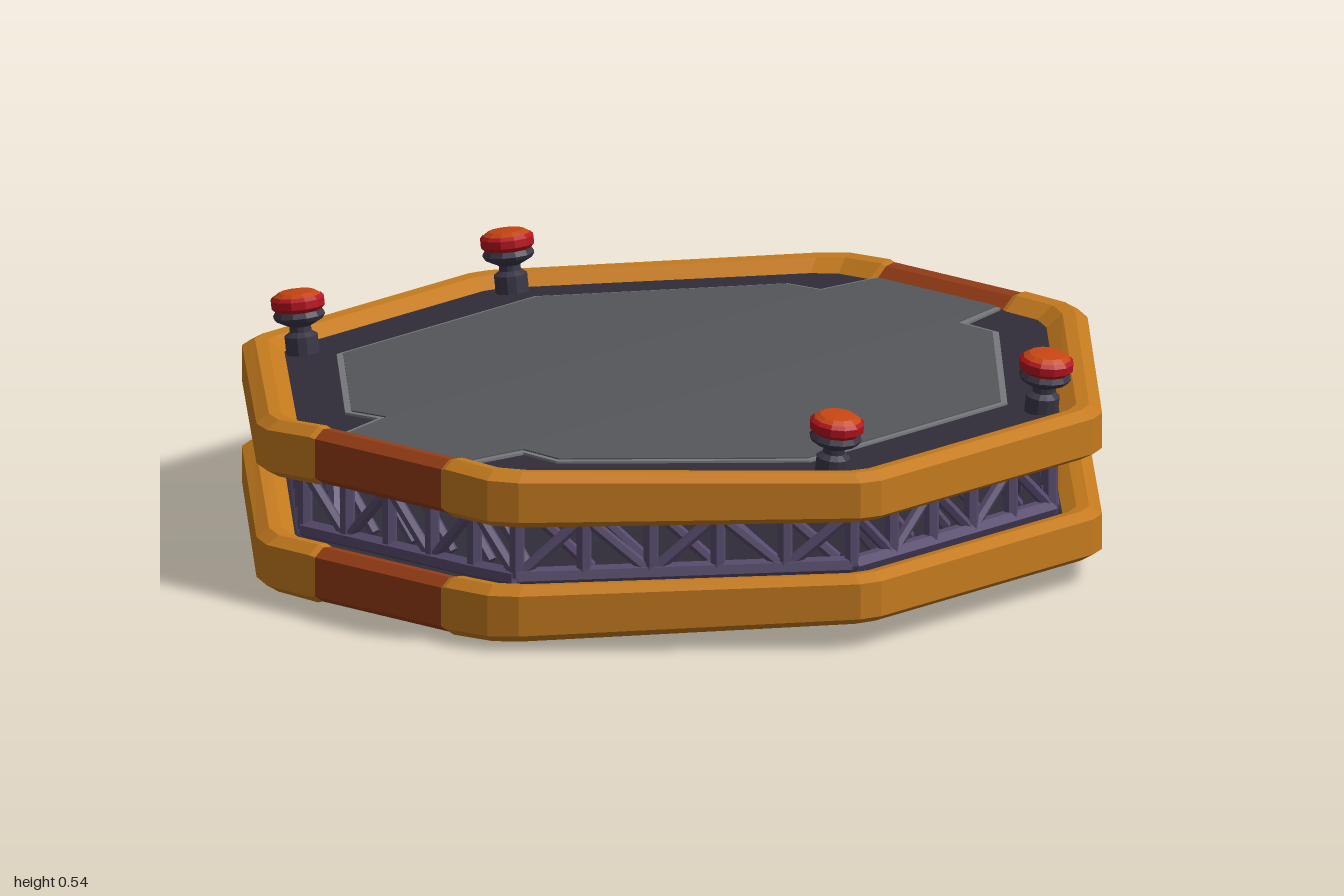
import * as THREE from 'three';
import { mergeGeometries } from 'three/addons/utils/BufferGeometryUtils.js';

const SUM = 0.43; // the lower deck is the upper one turned over: y -> SUM - y, z -> -z
const mat = (color) => new THREE.MeshStandardMaterial({ color, flatShading: true });
const M = {
  orange: mat(0xc47a1e), rust: mat(0x953c16), frame: mat(0x302d39), panel: mat(0x55575b),
  edge: mat(0x77797c), truss: mat(0x564a6c), dark: mat(0x3a3646), cap: mat(0xc64512), rim: mat(0xb3141f),
};

// Height on the bent upper deck at depth z, h above its middle layer
const Z = [-1, -0.2, 0.2, 1], BASE = [0.312, 0.355, 0.36, 0.36], THICK = [0.84, 1, 1, 0.84];
function yAt(z, h) {
  const i = z < -0.2 ? 0 : z < 0.2 ? 1 : 2;
  const t = THREE.MathUtils.clamp((z - Z[i]) / (Z[i + 1] - Z[i]), 0, 1);
  const mix = (a) => THREE.MathUtils.lerp(a[i], a[i + 1], t);
  return mix(BASE) + h * mix(THICK);
}

// Skin over closed sections (counter-clockwise about the travel direction), capped at both ends
function loft(sections) {
  const p = [], tri = (...v) => v.forEach((q) => p.push(...q));
  const n = sections[0].length, last = sections[sections.length - 1], first = sections[0];
  for (let i = 0; i < sections.length - 1; i++) {
    for (let j = 0; j < n; j++) {
      const k = (j + 1) % n, s = sections[i], e = sections[i + 1];
      tri(s[j], s[k], e[k], s[j], e[k], e[j]);
    }
  }
  for (let j = 1; j < n - 1; j++) {
    tri(last[0], last[j], last[j + 1]);
    tri(first[0], first[j + 1], first[j]);
  }
  const g = new THREE.BufferGeometry();
  g.setAttribute('position', new THREE.Float32BufferAttribute(p, 3));
  g.computeVertexNormals();
  return g;
}

function add(parent, name, geometry, material) {
  const m = new THREE.Mesh(geometry, material);
  m.name = name;
  parent.add(m);
  return m;
}

// Bent plate from half widths [z, w], given for z > 0 from the middle outward
function plate(half, bottom, top) {
  const rows = [...half.map(([z, w]) => [-z, w]).reverse(), ...half];
  return loft(rows.map(([z, w]) => {
    const b = yAt(z, bottom), t = yAt(z, top);
    return [[-w, b, z], [w, b, z], [w, t, z], [-w, t, z]];
  }));
}

// Rail profile: [inset from the outside, height]
const RAIL = [[0.1, -0.04], [0.06, -0.066], [0.03, -0.07], [0, -0.05],
  [0, 0.05], [0.03, 0.07], [0.06, 0.066], [0.1, 0.035]];
// Path points: [x, z, profile scale, whether z stays fixed]
function rail(path) {
  return loft(path.map(([x, z, k, fixed]) => RAIL.map(([d0, h]) => {
    const d = 0.05 + (d0 - 0.05) * k, zz = fixed ? z : z * (1 - d);
    return [x * (1 - d), yAt(zz, h * k), zz];
  })));
}

function makeDeck(name) {
  const deck = new THREE.Group();
  deck.name = name;
  const side = [[1, 0.19, 0.88, true], [1, 0.215, 1, true], [1, 0.35, 1], [0.965, 0.415, 1],
    [0.41, 0.98, 1], [0.36, 1, 1]];
  const front = [...side, ...side.map(([x, ...r]) => [-x, ...r]).reverse()];
  add(deck, 'frontRail', rail(front), M.orange);
  add(deck, 'backRail', rail(front.map(([x, z, ...r]) => [-x, -z, ...r])), M.orange);
  for (const s of [1, -1]) {
    add(deck, s > 0 ? 'leftClamp' : 'rightClamp',
      rail([[s, -0.2 * s, 0.93, true], [s, 0.2 * s, 0.93, true]]), M.rust);
  }
  // Frame, panel border and panel
  add(deck, 'frame', plate([[0.2, 0.93], [0.36, 0.93], [0.93, 0.36]], -0.045, 0.036), M.frame);
  const outline = (o) => [[0.2 + o, 0.9], [0.23 + o, 0.75 + o], [0.335 + o / 2, 0.75 + o], [0.75 + o, 0.335 + o / 2]];
  add(deck, 'panelBorder', plate(outline(0), 0.03, 0.042), M.edge);
  add(deck, 'panel', plate(outline(-0.014), 0.03, 0.045), M.panel);
  return deck;
}

function beam(a, b, r) {
  const d = b.clone().sub(a);
  const g = new THREE.CylinderGeometry(r, r, d.length(), 6);
  g.applyQuaternion(new THREE.Quaternion().setFromUnitVectors(new THREE.Vector3(0, 1, 0), d.normalize()));
  return g.translate(...a.clone().add(b).multiplyScalar(0.5).toArray());
}

// Upper and lower nodes around an octagon
function nodes(scale, perSide) {
  const c = [[1, -0.38], [1, 0.38], [0.38, 1], [-0.38, 1], [-1, 0.38], [-1, -0.38], [-0.38, -1], [0.38, -1]];
  const list = [];
  c.forEach(([x, z], i) => {
    const [x2, z2] = c[(i + 1) % 8];
    for (let j = 0; j < perSide; j++) {
      const t = j / perSide, px = scale * (x + (x2 - x) * t), pz = scale * (z + (z2 - z) * t);
      list.push({
        up: new THREE.Vector3(px, yAt(pz, -0.07), pz),
        low: new THREE.Vector3(px, SUM - yAt(-pz, -0.07), pz),
      });
    }
  });
  return list;
}

function makeTruss() {
  const chords = [], struts = [];
  const outer = nodes(0.885, 5), inner = nodes(0.81, 5);
  outer.forEach((n, i) => {
    const k = (i + 1) % outer.length, m = outer[k];
    chords.push(beam(n.up, m.up, 0.022), beam(n.low, m.low, 0.022));
    struts.push(beam(n.up, n.low, 0.018));
    struts.push(i % 2 ? beam(n.up, m.low, 0.014) : beam(n.low, m.up, 0.014));
    struts.push(beam(inner[i].low, inner[k].up, 0.014));
  });
  const g = new THREE.Group();
  g.name = 'truss';
  add(g, 'trussChords', mergeGeometries(chords), M.truss);
  add(g, 'trussStruts', mergeGeometries(struts), M.truss);
  return g;
}

function makeKnob() {
  const g = new THREE.Group();
  g.name = 'knob';
  const lathe = (pts) => new THREE.LatheGeometry(pts.map((p) => new THREE.Vector2(...p)), 12);
  add(g, 'stem', lathe([[0, -0.03], [0.04, -0.03], [0.04, 0.012], [0.026, 0.022], [0.026, 0.035],
    [0.055, 0.05], [0.062, 0.06], [0.055, 0.072], [0, 0.072]]), M.dark);
  add(g, 'capRim', lathe([[0, 0.07], [0.052, 0.07], [0.064, 0.082], [0.064, 0.1], [0.056, 0.108]]), M.rim);
  add(g, 'capTop', lathe([[0.06, 0.104], [0.042, 0.116], [0, 0.12]]), M.cap);
  return g;
}

export function createModel() {
  const model = new THREE.Group();
  model.name = 'octagonalPlatform';
  const lower = makeDeck('lowerDeck');
  lower.rotation.x = Math.PI;
  lower.position.y = SUM;
  model.add(makeDeck('upperDeck'), lower, makeTruss());
  // Four knobs leaning slightly outward
  for (const x of [-0.355, 0.355]) {
    for (const s of [1, -1]) {
      const knob = makeKnob();
      knob.position.set(x, s > 0 ? 0.418 : 0.382, s * 0.842);
      knob.rotation.x = s * 0.14;
      model.add(knob);
    }
  }
  return model;
}
